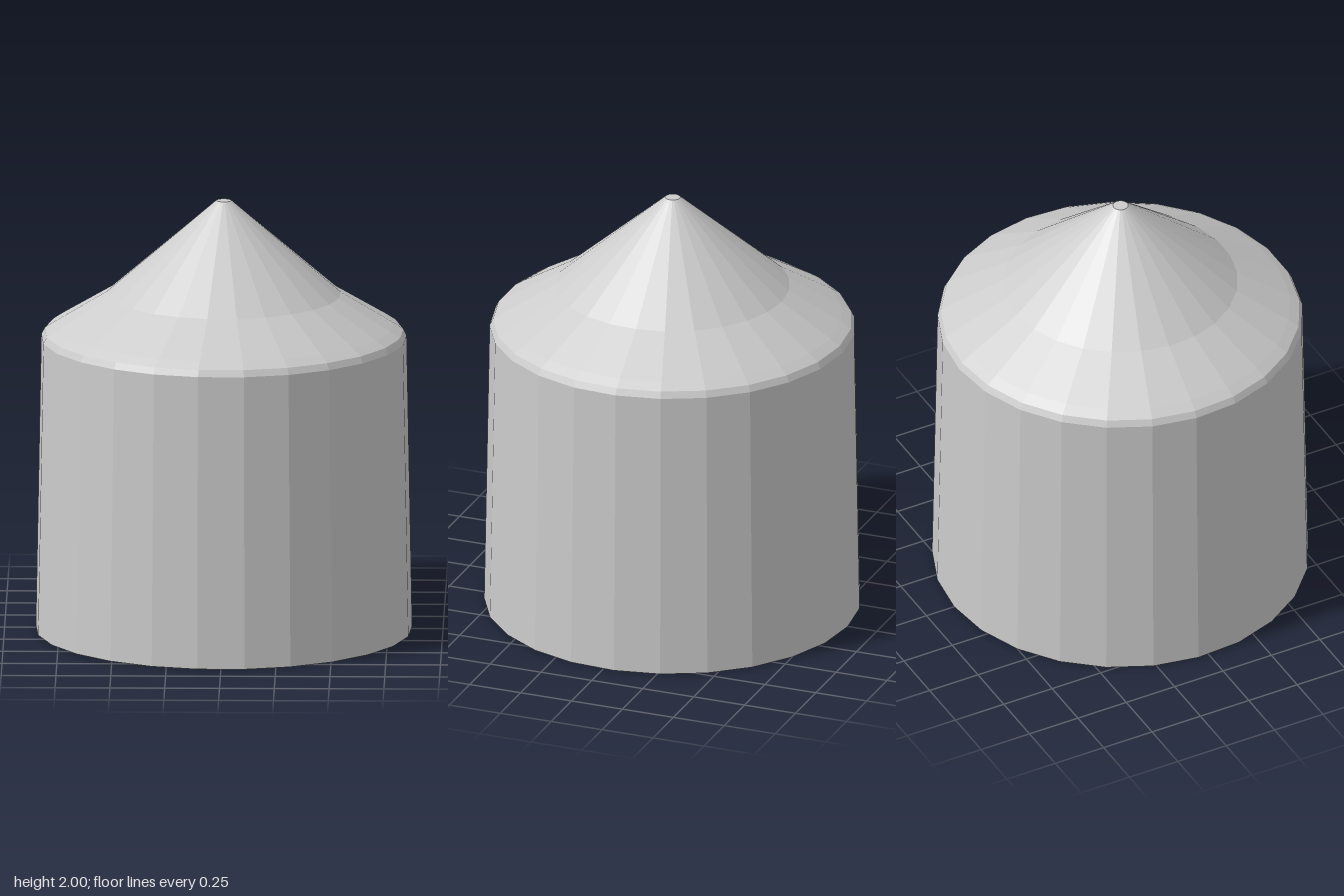
import * as THREE from 'three';

const SIDES = 25;

// Faceted shell of revolution with a corner pointing to the back (-z)
function shell(name, profile, material) {
  const points = profile.map(([r, y]) => new THREE.Vector2(r, y));
  const mesh = new THREE.Mesh(new THREE.LatheGeometry(points, SIDES, Math.PI), material);
  mesh.name = name;
  return mesh;
}

export function createModel() {
  const group = new THREE.Group();
  group.name = 'roundTower';
  const material = new THREE.MeshStandardMaterial({
    color: 0xcccccc, flatShading: true, side: THREE.DoubleSide,
  });

  // Slightly tapered wall, open at the bottom
  group.add(shell('wall', [[0.86, 0], [0.835, 1.36]], material));

  // Bevelled eave
  group.add(shell('eave', [[0.835, 1.36], [0.82, 1.39], [0.775, 1.42]], material));

  // Flared roof, steeper above the break, with a small flat tip
  group.add(shell('roof', [[0.775, 1.42], [0.535, 1.565], [0.035, 2], [0, 2]], material));

  // Centre the odd-sided outline on z
  group.children.forEach((part) => { part.position.z = 0.003; });
  return group;
}
